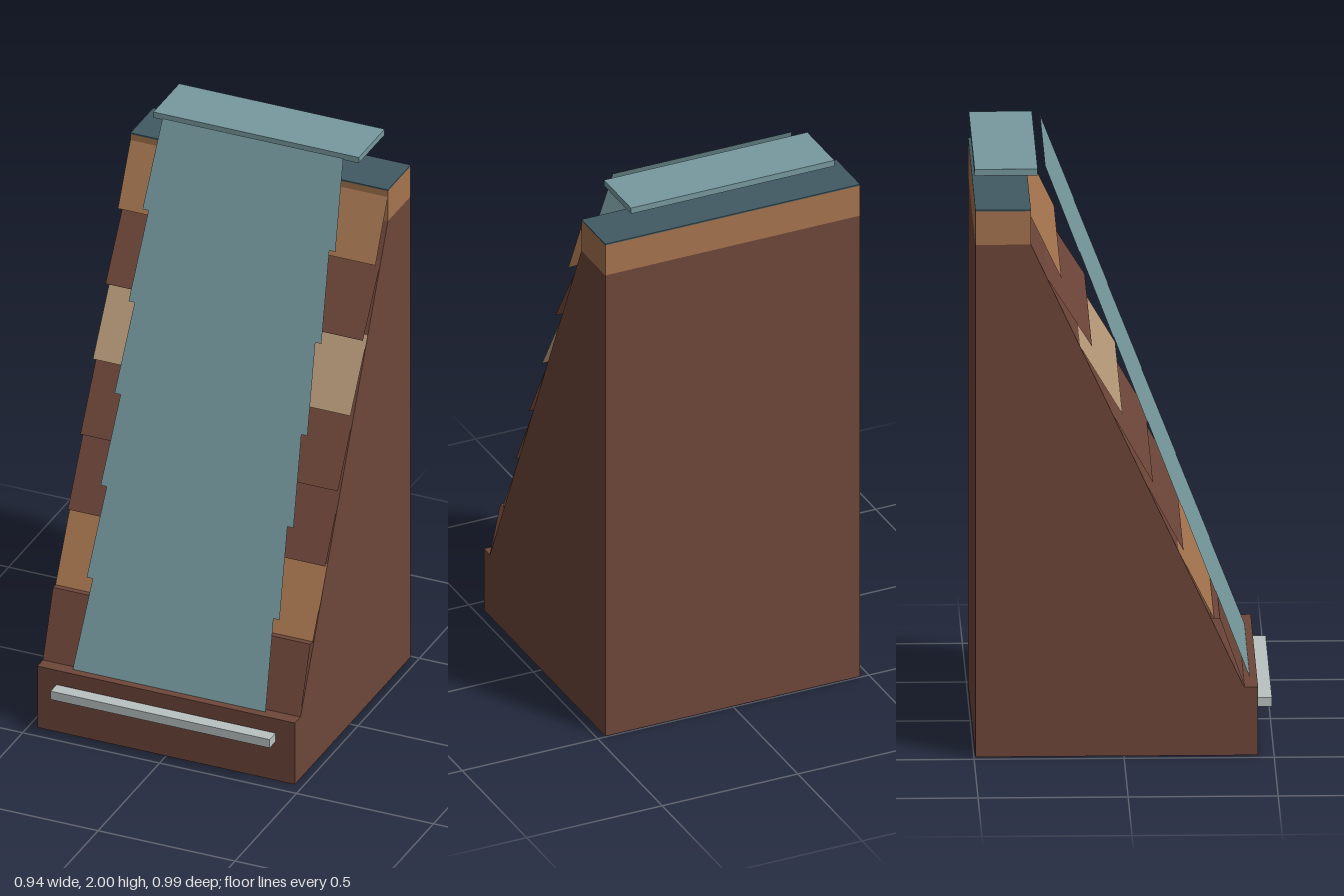
import * as THREE from 'three';

const material = (name, color) => {
  const m = new THREE.MeshStandardMaterial({ color, side: THREE.DoubleSide });
  m.name = name;
  return m;
};

export function createModel() {
  const group = new THREE.Group();
  const brown = material('brown rock', 0x6e4639);
  const ochre = material('ochre rock', 0xa6754f);
  const tan = material('tan rock', 0xb69878);
  const water = material('falling water', 0x779a9f);
  const pool = material('deep water', 0x415a62);
  const grey = material('pale grey', 0xbac2c2);

  const add = (name, geometry, mat) => {
    const mesh = new THREE.Mesh(geometry, mat);
    mesh.name = name;
    group.add(mesh);
    return mesh;
  };
  // Box given by its limits on each axis
  const box = (name, [x0, x1], [y0, y1], [z0, z1], mat) =>
    add(name, new THREE.BoxGeometry(x1 - x0, y1 - y0, z1 - z0), mat)
      .position.set((x0 + x1) / 2, (y0 + y1) / 2, (z0 + z1) / 2);
  // Flat sheet across x between two [y, z] lines, with its own half width at each
  const sheet = (name, [y0, z0], [y1, z1], w0, w1, mat) => {
    const g = new THREE.BufferGeometry();
    g.setAttribute('position', new THREE.Float32BufferAttribute(
      [-w0, y0, z0, w0, y0, z0, w1, y1, z1, -w1, y1, z1], 3));
    g.setIndex([0, 1, 2, 0, 2, 3]);
    g.computeVertexNormals();
    add(name, g, mat);
  };

  const W = 0.47, BACK = -0.495, FRONT = 0.447, BASE = 0.235;

  // Base: four walls and a lid, open underneath
  sheet('baseFront', [0, FRONT], [BASE, FRONT], W, W, brown);
  sheet('baseBack', [BASE, BACK], [0, BACK], W, W, brown);
  sheet('baseLid', [BASE, FRONT], [BASE, BACK], W, W, brown);
  for (const side of [-1, 1]) {
    const wall = new THREE.PlaneGeometry(FRONT - BACK, BASE);
    wall.rotateY(side * Math.PI / 2);
    wall.translate(side * W, BASE / 2, (FRONT + BACK) / 2);
    add('baseSide', wall, brown);
  }

  // Sloping cliff body, profile in (z, y) extruded across x
  const profile = new THREE.Shape();
  [[0.4, BASE], [-0.31, 1.765], [BACK, 1.765], [BACK, BASE]].forEach(([z, y], i) =>
    i ? profile.lineTo(-z, y) : profile.moveTo(-z, y));
  const body = new THREE.ExtrudeGeometry(profile, { depth: 2 * W, bevelEnabled: false });
  body.translate(0, 0, -W);
  body.rotateY(Math.PI / 2);
  add('cliffBody', body, brown);

  // Cap and the pool on top of it
  box('cliffCap', [-W, W], [1.765, 1.88], [BACK, -0.31], ochre);
  box('topPool', [-W, W], [1.88, 1.885], [BACK, -0.31], pool);

  // Overlapping rock layers leaning against the slope
  const layers = [brown, ochre, brown, brown, tan, brown, ochre];
  const bodyZ = (y) => 0.4 - (y - BASE) * 0.464;
  layers.forEach((mat, i) => {
    const y0 = BASE + 0.2355 * i, y1 = y0 + 0.2355;
    const z0 = 0.402 - 0.1017 * i;
    let top = [y1, bodyZ(y1)];
    if (i === 0) top = [y1, 0.32];
    if (i === 6) top = [1.858, -0.309];
    sheet('rockLayer', [y0, z0], top, W, W, mat);
  });
  sheet('lowerLedge', [0.4705, 0.32], [0.4705, 0.28], W, W, brown);

  // Waterfall: six flared lengths in one plane
  const at = (i) => [0.237 + 0.2937 * i, 0.422 - 0.1135 * i];
  for (let i = 0; i < 6; i++) sheet('waterfall', at(i), at(i + 1), 0.352, 0.33, water);

  // Slab of water at the brink
  box('waterBrink', [-0.375, 0.375], [1.978, 2], [BACK, -0.285], water);

  // Bar through the front wall
  box('frontBar', [-0.4, 0.4], [0.148, 0.18], [0.32, 0.495], grey);

  return group;
}
